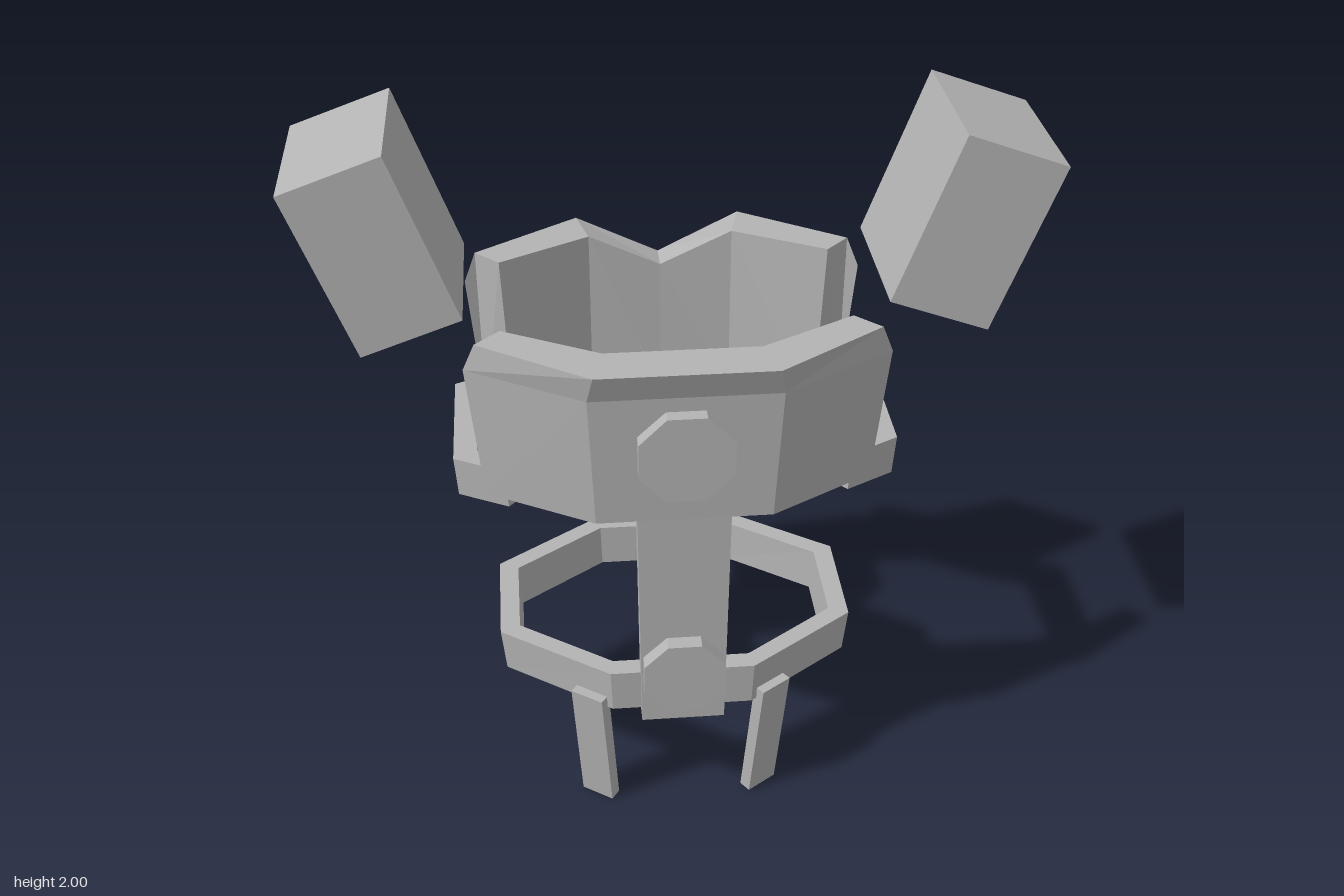
import * as THREE from 'three';

const grey = new THREE.MeshStandardMaterial({ color: 0xb4b4b4 });
grey.name = 'plainGrey';
grey.flatShading = true;

// Skin a list of cross-sections (equal point counts); closed joins last to first, else ends are capped.
function loft(sections, closed = false) {
  const n = sections[0].length, m = sections.length, tris = [];
  for (let i = 0; i < (closed ? m : m - 1); i++) {
    const a = sections[i], b = sections[(i + 1) % m];
    for (let j = 0; j < n; j++) {
      const k = (j + 1) % n;
      tris.push([a[j], b[j], b[k]], [a[j], b[k], a[k]]);
    }
  }
  if (!closed) {
    const a = sections[0], b = sections[m - 1];
    for (let j = 1; j < n - 1; j++) tris.push([a[0], a[j], a[j + 1]], [b[0], b[j + 1], b[j]]);
  }
  // turn every face outward using the signed volume
  let volume = 0;
  const v = tris.map(t => t.map(p => new THREE.Vector3(...p)));
  for (const [p, q, r] of v) volume += p.dot(q.clone().cross(r));
  if (volume < 0) v.forEach(t => t.reverse());
  const g = new THREE.BufferGeometry().setFromPoints(v.flat());
  g.computeVertexNormals();
  return g;
}

export function createModel() {
  const model = new THREE.Group();
  const add = (name, geometry) => {
    const mesh = new THREE.Mesh(geometry, grey);
    mesh.name = name;
    model.add(mesh);
    return mesh;
  };

  // Breast and back plates: bent in plan, lip flaring at the top, optional central notch
  function plate(name, dir, yBottom, yTop, notch) {
    const yMid = yTop - 0.08;
    const end = s => [
      [s * 0.51, yBottom, dir * 0.25], [s * 0.547, yMid, dir * 0.25], [s * 0.515, yTop, dir * 0.265],
      [s * 0.45, yTop, dir * 0.2], [s * 0.43, yBottom, dir * 0.2]];
    const bend = s => [
      [s * 0.23, yBottom, dir * 0.41], [s * 0.245, yMid, dir * 0.43], [s * 0.23, yTop, dir * 0.457],
      [s * 0.2, yTop, dir * 0.335], [s * 0.2, yBottom, dir * 0.335]];
    const centre = [
      [0, yBottom, dir * 0.41], [0, yMid - notch, dir * 0.42], [0, yTop - notch, dir * 0.43],
      [0, yTop - notch, dir * 0.345], [0, yBottom, dir * 0.335]];
    const sections = [end(-1), bend(-1), bend(1), end(1)];
    if (notch) sections.splice(2, 0, centre);
    add(name, loft(sections));
  }
  plate('breastPlate', 1, 1.055, 1.515, 0);
  plate('backPlate', -1, 1.0, 1.5, 0.1);

  // Waist belt: eight-cornered ring
  const corners = [[0.2, 0.37, 0.19, 0.315], [0.5, 0.16, 0.445, 0.135]];
  const quadrants = [[1, 1, 0], [1, 1, 1], [1, -1, 1], [1, -1, 0], [-1, -1, 0], [-1, -1, 1], [-1, 1, 1], [-1, 1, 0]];
  add('waistBelt', loft(quadrants.map(([sx, sz, c]) => {
    const [ox, oz, ix, iz] = corners[c];
    return [
      [sx * ox * 0.975, 0.38, sz * oz * 0.985], [sx * ox, 0.512, sz * oz],
      [sx * ix, 0.512, sz * iz], [sx * ix * 0.98, 0.38, sz * iz]];
  }), true));

  // Front strap from breast plate to belt
  add('frontStrap', loft([[0.115, 0.355, 0.39, 0.335], [0.123, 1.1, 0.405, 0.34]].map(([x, y, zo, zi]) =>
    [[-x, y, zo], [x, y, zo], [x, y, zi], [-x, y, zi]])));

  // Eight-sided medallions on the plates and the belt
  for (const [name, r, y, z, depth] of [
    ['breastMedallion', 0.132, 1.272, 0.43, 0.07],
    ['backMedallion', 0.132, 1.18, -0.43, 0.07],
    ['beltBuckle', 0.12, 0.54, 0.41, 0.06]]) {
    const disc = new THREE.CylinderGeometry(r, r, depth, 8).rotateY(Math.PI / 8).rotateX(Math.PI / 2);
    add(name, disc).position.set(0, y, z);
  }

  // Back pouch, slightly narrower towards the body
  add('backPouch', loft([[-0.345, 0.145], [-0.42, 0.167]].map(([z, x]) =>
    [[-x + 0.01, 0.48, z], [x - 0.01, 0.48, z], [x, 0.74, z], [-x, 0.74, z]])));

  for (const s of [1, -1]) {
    const side = s > 0 ? 'left' : 'right';

    // Shoulder block
    const block = add(side + 'ShoulderBlock', new THREE.BoxGeometry(0.277, 0.475, 0.426));
    block.position.set(s * 0.75, 1.733, 0);
    block.rotation.z = -s * 0.345;

    // Underarm strap bending round to both plates
    const path = [[0.46, 0.26, 0.41, 0.205], [0.592, 0.19, 0.53, 0.155], [0.592, -0.19, 0.53, -0.155], [0.46, -0.25, 0.41, -0.2]];
    add(side + 'SideStrap', loft(path.map(([ox, oz, ix, iz]) => [
      [s * (ox - 0.008), 1.017, oz], [s * ox, 1.13, oz], [s * ix, 1.13, iz], [s * (ix - 0.008), 1.017, iz]])));

    // Hanging thigh strap, aligned with the slanted belt side
    const w = 0.05, t = 0.019;
    add(side + 'ThighStrap', loft([[0.257, 0.418, 0.335], [0.232, 0, 0.287]].map(([x, y, z]) =>
      [[1, 1], [1, -1], [-1, -1], [-1, 1]].map(([a, b]) =>
        [s * (x + a * w * 0.82 + b * t * 0.57), y, z - a * w * 0.57 + b * t * 0.82]))));
  }
  return model;
}
